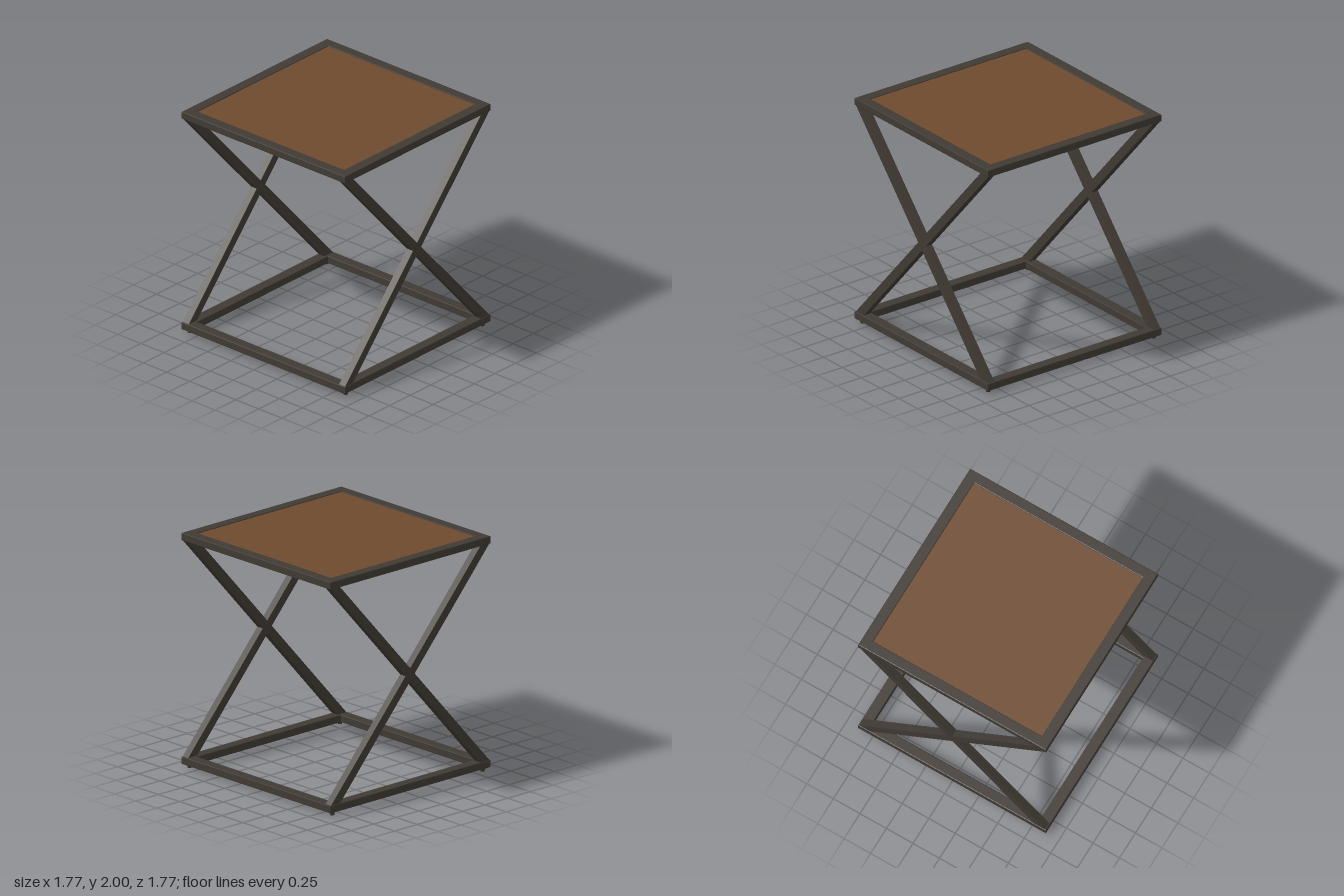
import * as THREE from 'three';

const OUTER = 0.885, INNER = 0.795, BEVEL = 0.006;

// Square ring lying flat, with slightly eased edges
function ringFrame(name, y0, y1, material) {
  const o = OUTER - BEVEL, i = INNER + BEVEL;
  const square = (r, Path) => new Path([
    new THREE.Vector2(-r, -r), new THREE.Vector2(r, -r),
    new THREE.Vector2(r, r), new THREE.Vector2(-r, r),
  ]);
  const shape = square(o, THREE.Shape);
  shape.holes.push(square(i, THREE.Path));
  const geo = new THREE.ExtrudeGeometry(shape, {
    depth: y1 - y0 - 2 * BEVEL, bevelEnabled: true,
    bevelThickness: BEVEL, bevelSize: BEVEL, bevelSegments: 2,
  });
  geo.rotateX(-Math.PI / 2);
  geo.translate(0, y0 + BEVEL, 0);
  const mesh = new THREE.Mesh(geo, material);
  mesh.name = name;
  return mesh;
}

// Slanted bar in the side plane, cut level where it meets the frames
function crossLeg(x, dir, material) {
  const y0 = 0.09, y1 = 1.94, z = 0.83 * dir, h = 0.05, width = 0.065;
  const shape = new THREE.Shape([
    new THREE.Vector2(z - h, y0), new THREE.Vector2(z + h, y0),
    new THREE.Vector2(-z + h, y1), new THREE.Vector2(-z - h, y1),
  ]);
  const geo = new THREE.ExtrudeGeometry(shape, { depth: width, bevelEnabled: false });
  geo.translate(0, 0, -width / 2);
  geo.rotateY(-Math.PI / 2);
  const mesh = new THREE.Mesh(geo, material);
  mesh.position.x = x;
  mesh.name = 'crossLeg';
  return mesh;
}

export function createModel() {
  const metal = new THREE.MeshStandardMaterial({ color: 0x403a33 });
  metal.name = 'dark bronze metal';
  const wood = new THREE.MeshStandardMaterial({ color: 0x6e4a2e });
  wood.name = 'brown wood';

  const table = new THREE.Group();
  table.name = 'sideTable';
  table.add(ringFrame('topFrame', 1.935, 2, metal));
  table.add(ringFrame('baseFrame', 0.03, 0.095, metal));

  // Inset table top
  const top = new THREE.Mesh(new THREE.BoxGeometry(INNER * 2, 0.035, INNER * 2), wood);
  top.position.y = 1.975;
  top.name = 'tableTop';
  table.add(top);

  // Crossed legs on both sides, and a small foot under each corner
  for (const sx of [-1, 1]) {
    for (const sz of [-1, 1]) {
      table.add(crossLeg(sx * 0.847, sz, metal));
      const foot = new THREE.Mesh(new THREE.CylinderGeometry(0.022, 0.018, 0.032, 16), metal);
      foot.position.set(sx * 0.845, 0.016, sz * 0.832);
      foot.name = 'foot';
      table.add(foot);
    }
  }
  return table;
}
